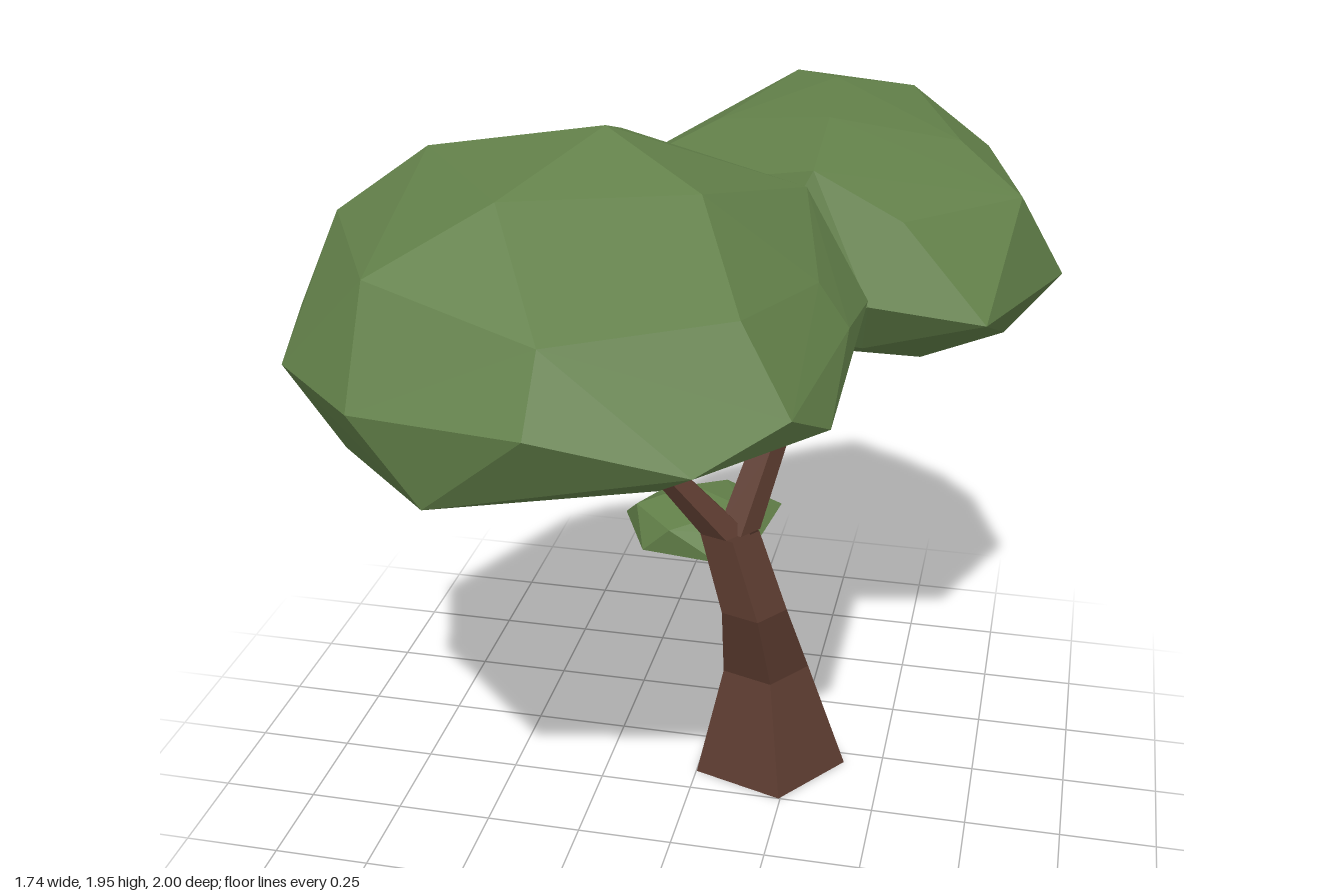
import * as THREE from 'three';
import { ConvexGeometry } from 'three/addons/geometries/ConvexGeometry.js';

const bark = new THREE.MeshStandardMaterial({ color: 0x5e3d31, flatShading: true, side: THREE.DoubleSide });
const leaf = new THREE.MeshStandardMaterial({ color: 0x628049, flatShading: true });

// Faceted open-ended limb through horizontal rings [x, y, z, radius]
function limb(name, rings, sides, phase) {
  const corner = (i, j) => {
    const [x, y, z, r] = rings[i];
    const a = phase + (j / sides) * Math.PI * 2;
    return [x + r * Math.cos(a), y, z - r * Math.sin(a)];
  };
  const pos = [];
  for (let i = 0; i < rings.length - 1; i++) {
    for (let j = 0; j < sides; j++) {
      const a = corner(i, j), b = corner(i, j + 1), c = corner(i + 1, j + 1), d = corner(i + 1, j);
      pos.push(...a, ...b, ...c, ...a, ...c, ...d);
    }
  }
  const geo = new THREE.BufferGeometry();
  geo.setAttribute('position', new THREE.Float32BufferAttribute(pos, 3));
  geo.computeVertexNormals();
  const mesh = new THREE.Mesh(geo, bark);
  mesh.name = name;
  return mesh;
}

// Faceted leaf mass: convex shell around its corner points
function foliage(name, points) {
  const mesh = new THREE.Mesh(new ConvexGeometry(points.map(p => new THREE.Vector3(...p))), leaf);
  mesh.name = name;
  return mesh;
}

export function createModel() {
  const tree = new THREE.Group();
  tree.name = 'tree';

  // Bent five-sided trunk, forking into two branches
  tree.add(limb('trunk', [
    [0.178, 0, -0.207, 0.218], [0.168, 0.32, -0.18, 0.122],
    [0.155, 0.56, -0.063, 0.09], [0.09, 0.79, -0.053, 0.08],
  ], 5, 0));
  tree.add(limb('frontBranch', [
    [0.078, 0.79, -0.04, 0.062], [-0.045, 0.97, 0.035, 0.046], [-0.065, 1.26, 0.305, 0.031],
  ], 5, 0));
  tree.add(limb('backBranch', [
    [0.112, 0.79, -0.065, 0.058], [0.172, 1.0, -0.145, 0.05], [0.285, 1.28, -0.36, 0.031],
  ], 5, 0));
  tree.add(limb('twig', [
    [0.11, 0.32, -0.24, 0.04], [0.035, 0.43, -0.375, 0.028], [-0.035, 0.57, -0.445, 0.018],
  ], 4, 0.3));

  // Large front canopy
  tree.add(foliage('frontCanopy', [
    // crown
    [-0.11, 1.95, 0.35], [-0.55, 1.85, 0.25], [-0.27, 1.86, 0.64], [0.12, 1.84, 0.44],
    [-0.14, 1.87, 0.09], [0.28, 1.74, 0.03],
    // shoulder
    [-0.76, 1.7, 0.3], [-0.52, 1.72, 0.77], [-0.11, 1.66, 0.91], [0.25, 1.66, 0.68],
    [0.36, 1.63, 0.35], [-0.66, 1.68, 0.14], [0.1, 1.66, -0.18],
    // rim
    [-0.87, 1.46, 0.3], [-0.75, 1.48, 0.69], [-0.52, 1.48, 0.91], [-0.12, 1.5, 1.0],
    [0.2, 1.41, 0.91], [0.37, 1.48, 0.75], [0.43, 1.4, 0.6], [0.43, 1.53, 0.35], [0.44, 1.5, 0.1],
    [-0.68, 1.45, 0], [-0.62, 1.53, -0.18], [-0.5, 1.57, -0.27], [-0.35, 1.62, -0.3], [0.15, 1.42, -0.22],
    // underside
    [-0.8, 1.27, 0.24], [-0.64, 1.27, 0.64], [-0.37, 1.28, 0.91], [0.1, 1.31, 0.78],
    [-0.43, 1.21, 0.3], [-0.14, 1.2, 0.61], [-0.14, 1.2, 0.1], [0.25, 1.23, 0.36],
    [0.2, 1.25, 0.05], [-0.57, 1.26, -0.08], [-0.35, 1.28, -0.2],
  ]));

  // Large back canopy
  tree.add(foliage('backCanopy', [
    // crown
    [0.28, 1.88, -0.43], [0.6, 1.76, -0.35], [0.15, 1.84, -0.64], [0.45, 1.81, -0.66],
    [0.3, 1.85, -0.17], [0, 1.78, -0.35],
    // shoulder
    [0.76, 1.65, -0.28], [-0.08, 1.65, -0.62], [0.3, 1.69, -0.89], [0.65, 1.65, -0.7],
    [0.29, 1.77, 0], [0.5, 1.65, -0.03],
    // rim
    [-0.35, 1.59, -0.3], [-0.28, 1.5, -0.56], [-0.22, 1.45, -0.73], [0.13, 1.48, -0.98],
    [0.46, 1.44, -1.0], [0.75, 1.42, -0.74], [0.87, 1.42, -0.4], [0.71, 1.42, 0],
    [0.44, 1.48, 0.09], [0.1, 1.4, 0.08],
    // underside
    [0.74, 1.29, -0.3], [0.54, 1.23, -0.24], [0.25, 1.3, -0.85], [0.5, 1.26, -0.73],
    [0.3, 1.21, -0.45], [0, 1.26, -0.74], [-0.08, 1.29, -0.5], [0.1, 1.27, -0.15], [0.42, 1.34, 0],
  ]));

  // Small leaf tuft on the twig
  tree.add(foliage('smallTuft', [
    [-0.1, 0.68, -0.49], [0.06, 0.66, -0.42], [-0.24, 0.65, -0.4], [-0.12, 0.64, -0.28],
    [-0.02, 0.65, -0.6], [-0.29, 0.58, -0.48], [-0.22, 0.59, -0.61], [0, 0.56, -0.69],
    [0.14, 0.59, -0.6], [0.12, 0.6, -0.38], [0.02, 0.56, -0.27], [-0.2, 0.56, -0.3],
    [-0.08, 0.52, -0.38], [0.02, 0.51, -0.52],
  ]));

  return tree;
}
